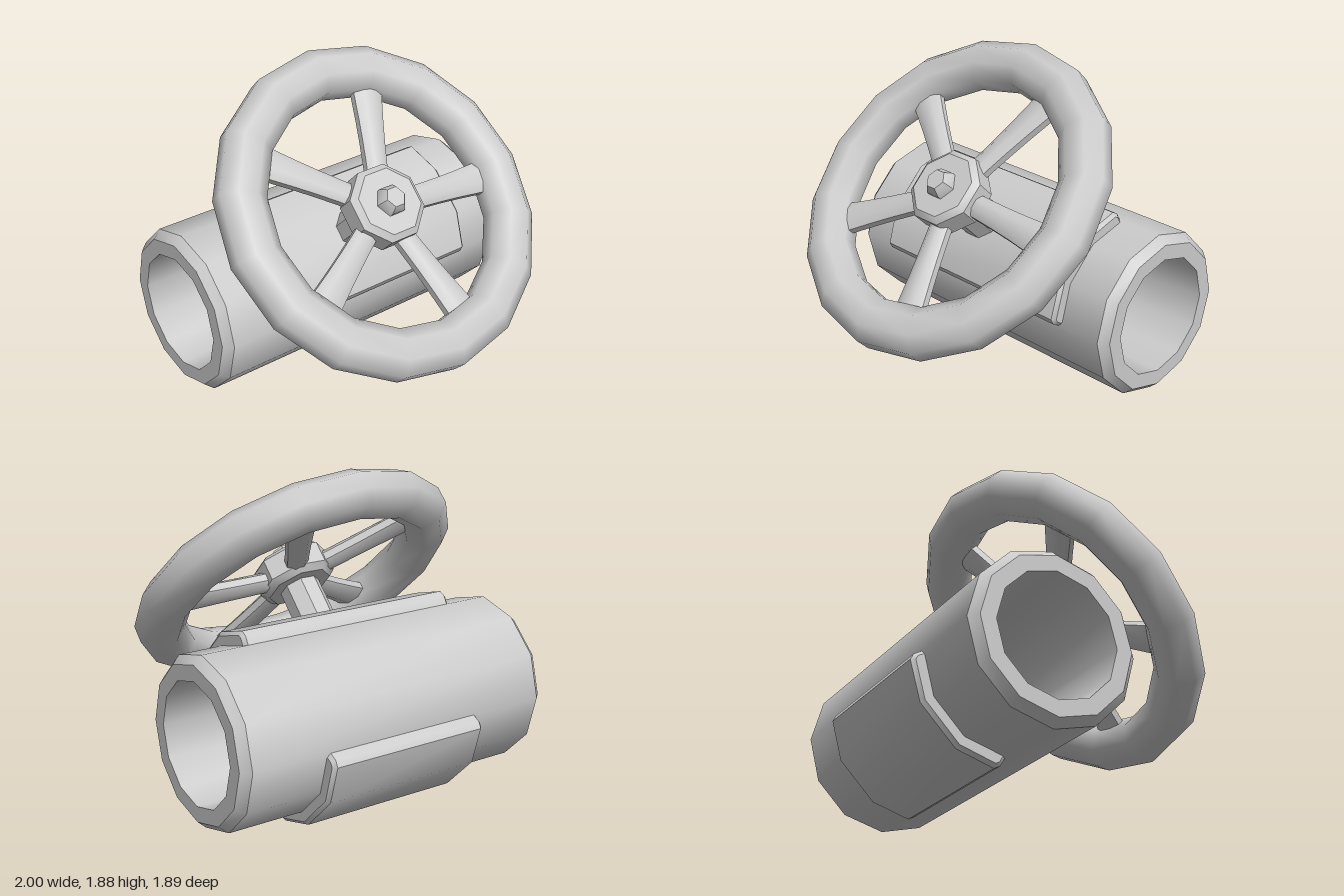
import * as THREE from 'three';
import { toCreasedNormals } from 'three/addons/utils/BufferGeometryUtils.js';

const PIPE_Y = 0.53, PIPE_Z = -0.4;
const material = new THREE.MeshStandardMaterial({ color: 0xcccccc });

function part(name, geometry, crease = 0.6) {
  const mesh = new THREE.Mesh(toCreasedNormals(geometry, crease), material);
  mesh.name = name;
  return mesh;
}

function lathe(profile, sides, start = 0) {
  return new THREE.LatheGeometry(profile.map(([r, h]) => new THREE.Vector2(r, h)), sides, start);
}

// Curved plate hugging a quarter of the pipe, with bevelled borders
function saddle(name, length) {
  const ring = (r, deg) => [r * Math.cos(deg * Math.PI / 180), r * Math.sin(deg * Math.PI / 180)];
  const outline = [
    [0.485, 0.0], [0.53, 0.025], [0.548, 0.06], ring(0.56, 30), ring(0.56, 60),
    [0.06, 0.548], [0.025, 0.53], [0, 0.485],
    ring(0.42, 88), ring(0.42, 60), ring(0.42, 30), ring(0.42, 2),
  ].map(([a, b]) => new THREE.Vector2(a, b));
  const bevel = 0.02;
  const g = new THREE.ExtrudeGeometry(new THREE.Shape(outline), {
    depth: length - 2 * bevel, bevelEnabled: true, bevelSegments: 1,
    bevelThickness: bevel, bevelSize: bevel, bevelOffset: -bevel,
  });
  g.translate(0, 0, bevel - length / 2);
  g.rotateY(-Math.PI / 2);
  return part(name, g);
}

// Flattened eight-sided bar that widens towards the rim
function spokeGeometry() {
  const inner = 0.12, outer = 0.8, len = outer - inner;
  const g = new THREE.CylinderGeometry(1, 1, len, 8, 5, false, Math.PI / 8);
  const p = g.attributes.position;
  for (let i = 0; i < p.count; i++) {
    const t = p.getY(i) / len + 0.5;
    p.setX(i, p.getX(i) * (0.07 + 0.04 * t * t));
    p.setZ(i, p.getZ(i) * 0.056);
  }
  g.translate(0, (inner + outer) / 2, 0);
  return g;
}

export function createModel() {
  const model = new THREE.Group();
  model.name = 'pipeValve';

  // Hollow pipe with chamfered ends
  const pipe = part('pipe', lathe([
    [0.35, -1], [0.44, -1], [0.485, -0.95], [0.485, 0.95], [0.44, 1], [0.35, 1], [0.35, -1],
  ], 12).rotateZ(Math.PI / 2));
  pipe.position.set(0, PIPE_Y, PIPE_Z);
  model.add(pipe);

  // Plates on the front top and the lower back of the pipe
  const frontPlate = saddle('frontSaddle', 1.38);
  const backPlate = saddle('backSaddle', 1.0);
  backPlate.rotation.x = Math.PI;
  for (const plate of [frontPlate, backPlate]) {
    plate.position.set(0, PIPE_Y, PIPE_Z);
    model.add(plate);
  }

  // Hand wheel, tilted so its axis (local z) points up and forward
  const wheel = new THREE.Group();
  wheel.name = 'handWheel';
  wheel.position.set(-0.03, 1.14, 0.215);
  wheel.rotation.x = -Math.PI / 4;
  model.add(wheel);

  const section = [];
  for (let i = 0; i <= 8; i++) {
    const a = (i + 0.5) * Math.PI / 4;
    section.push([0.838 + 0.147 * Math.cos(a), 0.136 * Math.sin(a)]);
  }
  wheel.add(part('rim', lathe(section, 16).rotateX(Math.PI / 2), 0.95));

  for (let i = 0; i < 5; i++) {
    const spoke = part('spoke', spokeGeometry(), 0.85);
    spoke.rotation.z = -Math.PI / 2 + (-4 + i * 72) * Math.PI / 180;
    wheel.add(spoke);
  }

  // Hub, stem and nut along the wheel axis
  wheel.add(part('hub', lathe([
    [0, -0.075], [0.19, -0.075], [0.232, -0.04], [0.232, 0.085], [0.195, 0.115], [0, 0.115],
  ], 8, Math.PI / 8).rotateX(Math.PI / 2)));
  wheel.add(part('stem', lathe([
    [0, -0.45], [0.12, -0.45], [0.12, 0], [0, 0],
  ], 8, Math.PI / 8).rotateX(Math.PI / 2)));
  wheel.add(part('nut', lathe([
    [0, 0.08], [0.09, 0.08], [0.09, 0.14], [0.06, 0.185], [0, 0.185],
  ], 6, Math.PI / 6).rotateX(Math.PI / 2)));

  return model;
}
